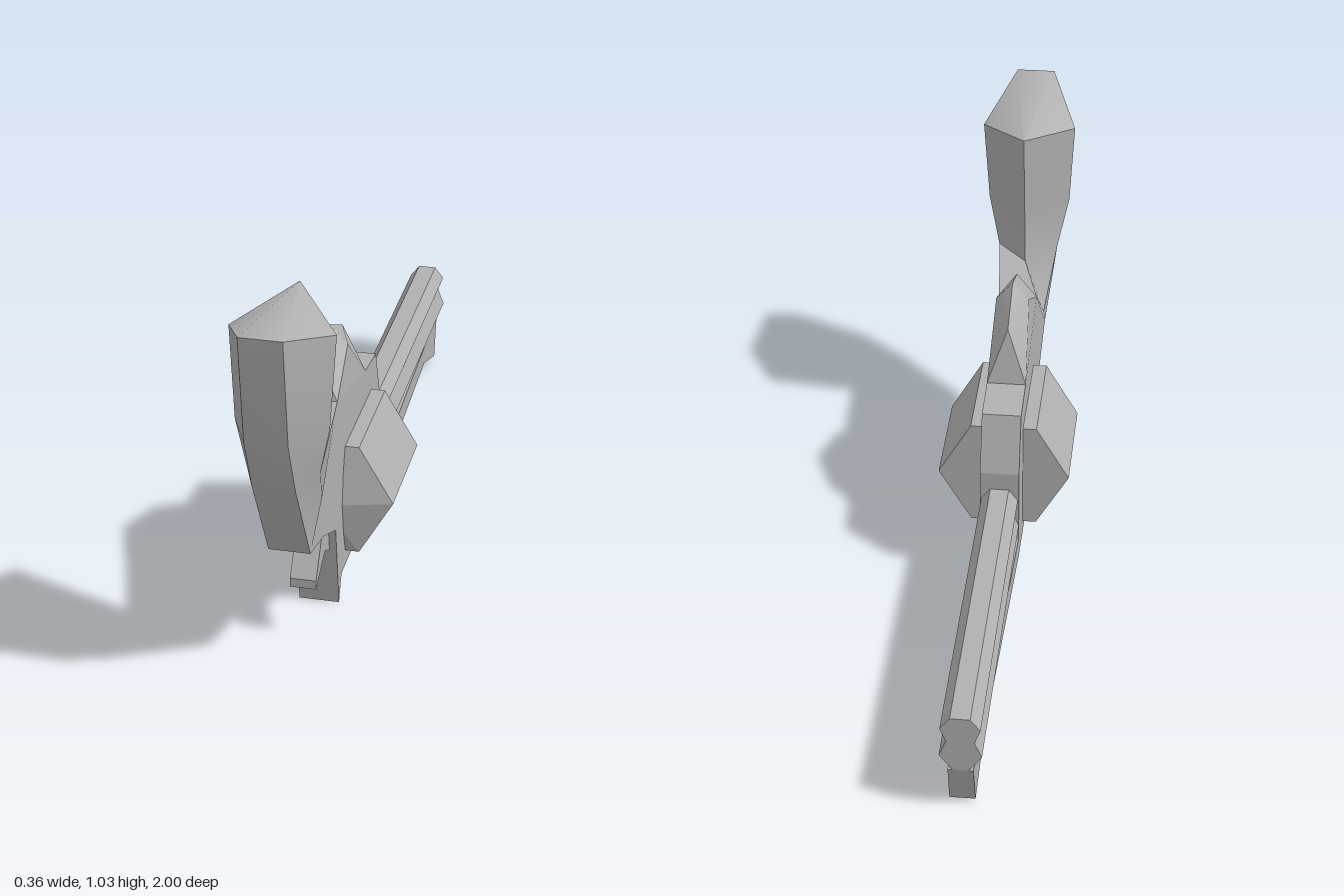
import * as THREE from 'three';
import { toCreasedNormals } from 'three/addons/utils/BufferGeometryUtils.js';

const metal = new THREE.MeshStandardMaterial({ color: 0xb0b0b0 });
metal.name = 'plain grey';

function add(group, name, geometry) {
  const mesh = new THREE.Mesh(geometry, metal);
  mesh.name = name;
  group.add(mesh);
  return mesh;
}

// Side profile given as [z, y] points, extruded symmetrically across x
function sidePlate(points, half) {
  const shape = new THREE.Shape(points.map(([z, y]) => new THREE.Vector2(-z, y)));
  const g = new THREE.ExtrudeGeometry(shape, { depth: half * 2, bevelEnabled: false });
  return g.translate(0, 0, -half).rotateY(Math.PI / 2);
}

function fromFaces(vertices, index) {
  const g = new THREE.BufferGeometry();
  g.setAttribute('position', new THREE.Float32BufferAttribute(vertices.flat(), 3));
  g.setIndex(index);
  return g;
}

// Grip: cross-sections from the butt down, each with a front edge, wide sides and a flat back
function gripGeometry() {
  // front [x, y, z], side [x, y, z], back [x, y, z]
  const sections = [
    [[0, 1.005, 0.62], [0.13, 0.96, 0.795], [0.053, 1.035, 1]],
    [[0, 0.78, 0.655], [0.116, 0.72, 0.81], [0.053, 0.745, 0.965]],
    [[0, 0.58, 0.685], [0.085, 0.58, 0.78], [0.053, 0.59, 0.9]],
    [[0.053, 0.6, 0.46], [0.057, 0.43, 0.65], [0.053, 0.335, 0.76]],
  ];
  const flip = ([x, y, z]) => [-x, y, z];
  const vertices = [], index = [];
  for (const [f, s, b] of sections) vertices.push(f, flip(f), flip(s), flip(b), b, s);
  for (let i = 0; i < sections.length - 1; i++) {
    for (let j = 0; j < 6; j++) {
      const a = i * 6 + j, b = i * 6 + (j + 1) % 6;
      index.push(a, a + 6, b + 6, a, b + 6, b);
    }
  }
  for (let j = 1; j < 5; j++) index.push(0, j, j + 1);
  return toCreasedNormals(fromFaces(vertices, index), 0.6);
}

// Solid guard: a wedge rising to a ridge on the centre line
function guardGeometry() {
  const side = (x) => [[x, 0.6, 0.46], [x, 0.52, 0.13], [x * 0.85, 0.685, 0.305]];
  const ridge = [[0, 0.69, 0.43], [0, 0.735, 0.305], [0, 0.67, 0.17]];
  const vertices = [...side(0.053), ...side(-0.053), ...ridge];
  const faces = [[0, 2, 6], [0, 1, 2], [1, 8, 2], [2, 8, 7], [2, 7, 6]];
  const mirror = (i) => (i < 3 ? i + 3 : i);
  const index = [];
  for (const [a, b, c] of faces) index.push(a, b, c, mirror(a), mirror(c), mirror(b));
  index.push(3, 0, 6, 1, 4, 8);
  return toCreasedNormals(fromFaces(vertices, index), 0.3);
}

export function createModel() {
  const model = new THREE.Group();
  model.name = 'revolver';

  add(model, 'grip', gripGeometry());
  add(model, 'triggerGuard', guardGeometry());

  // Frame with the rear sight
  add(model, 'frame', sidePlate([
    [0.46, 0.6], [0.76, 0.335], [0.615, 0.3], [0.485, 0.24], [0.45, 0], [0.42, 0.07],
    [-0.055, 0.073], [-0.055, 0.35], [0, 0.505], [0.13, 0.52],
  ], 0.053));

  // Lug and front sight, narrowing toward the muzzle
  const lug = sidePlate([
    [-0.055, 0.073], [-0.78, 0.08], [-0.965, 0.012], [-1, 0.135], [-0.055, 0.135],
  ], 0.053);
  const p = lug.attributes.position;
  for (let i = 0; i < p.count; i++) {
    p.setX(i, p.getX(i) * (1 - 0.4 * (-p.getZ(i) - 0.055) / 0.945));
  }
  lug.computeVertexNormals();
  add(model, 'barrelLug', lug);

  // Barrel with a groove along each side
  const half = [[0.02, 0.135], [0.053, 0.18], [0.035, 0.225], [0.05, 0.265], [0.025, 0.298]];
  const outline = [...half, ...half.map(([x, y]) => [-x, y]).reverse()];
  const barrel = new THREE.ExtrudeGeometry(
    new THREE.Shape(outline.map(([x, y]) => new THREE.Vector2(x, y))),
    { depth: 0.945, bevelEnabled: false });
  add(model, 'barrel', toCreasedNormals(barrel.translate(0, 0, -1), 0.5));

  // Six-sided cylinder with a shallow pointed rear
  const drum = new THREE.CylinderGeometry(0.18, 0.18, 0.32, 6, 1, true);
  const rear = new THREE.ConeGeometry(0.18, 0.05, 6, 1, true).translate(0, 0.185, 0);
  const face = new THREE.CircleGeometry(0.18, 6).rotateX(Math.PI / 2).translate(0, -0.16, 0);
  for (const [name, g, turn] of [
    ['cylinder', drum, Math.PI / 2], ['cylinderRear', rear, Math.PI / 2], ['cylinderFace', face, 0],
  ]) {
    g.rotateY(turn).rotateX(Math.PI / 2).translate(0, 0.27, 0.215);
    add(model, name, toCreasedNormals(g, 0.3));
  }

  // Hammer
  add(model, 'hammer', sidePlate([
    [0.55, 0.275], [0.48, 0.25], [0.47, 0.17], [0.525, 0.2], [0.625, 0.145], [0.625, 0.17],
  ], 0.034));

  return model;
}
